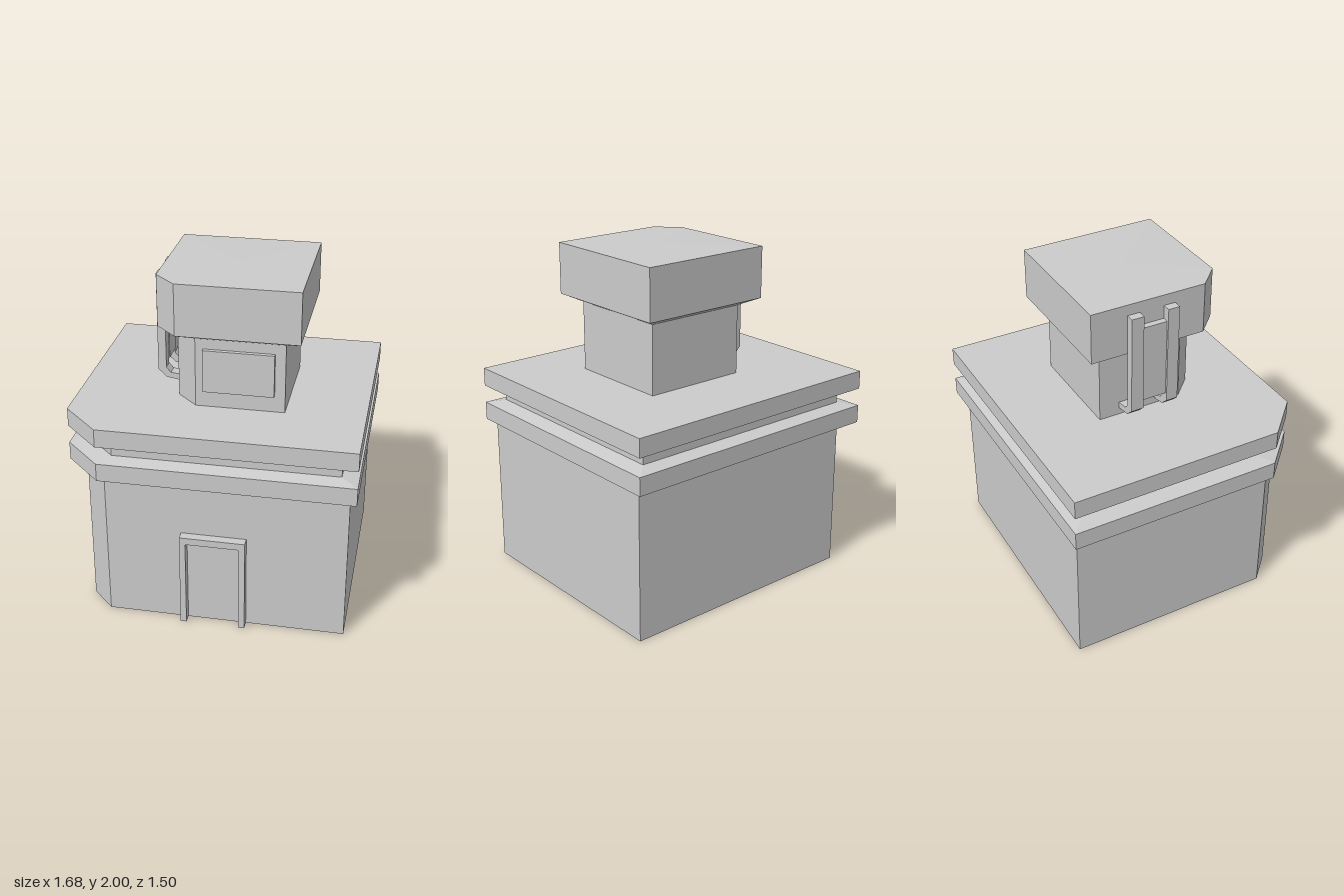
import * as THREE from 'three';

const grey = new THREE.MeshStandardMaterial({ color: 0xcccccc, flatShading: true });
const greyDouble = new THREE.MeshStandardMaterial({ color: 0xcccccc, flatShading: true, side: THREE.DoubleSide });

// Rectangle with the front corner on the -x side cut off, counter-clockwise from above
function ring(y, x0, x1, z0, z1, cut) {
  return [[x1, z1], [x1, z0], [x0, z0], [x0, z1 - cut], [x0 + cut, z1]]
    .map(([x, z]) => new THREE.Vector3(x, y, z));
}

// Joins rings from bottom to top; each cap is a fan around a centre raised by capRise
function loft(rings, { bottom = true, top = true, capRise = 0 } = {}) {
  const pts = [];
  const n = rings[0].length;
  const centre = (r) => new THREE.Vector3((r[0].x + r[2].x) / 2, r[0].y, (r[0].z + r[2].z) / 2);
  const first = rings[0], last = rings[rings.length - 1];
  const low = centre(first), high = centre(last);
  high.y += capRise;
  for (let j = 0; j < n; j++) {
    const k = (j + 1) % n;
    for (let i = 0; i < rings.length - 1; i++) {
      const a = rings[i], b = rings[i + 1];
      pts.push(a[j], a[k], b[k], a[j], b[k], b[j]);
    }
    if (bottom) pts.push(low, first[k], first[j]);
    if (top) pts.push(high, last[j], last[k]);
  }
  const geometry = new THREE.BufferGeometry().setFromPoints(pts);
  geometry.computeVertexNormals();
  return geometry;
}

// Outline in x and y, given thickness from z0 to z1
function plate(points, z0, z1) {
  const shape = new THREE.Shape(points.map(([x, y]) => new THREE.Vector2(x, y)));
  return new THREE.ExtrudeGeometry(shape, { depth: z1 - z0, bevelEnabled: false }).translate(0, 0, z0);
}

function box(x0, x1, y0, y1, z0, z1) {
  return new THREE.BoxGeometry(x1 - x0, y1 - y0, z1 - z0)
    .translate((x0 + x1) / 2, (y0 + y1) / 2, (z0 + z1) / 2);
}

export function createModel() {
  const model = new THREE.Group();
  const add = (name, geometry, material = grey) => {
    const mesh = new THREE.Mesh(geometry, material);
    mesh.name = name;
    model.add(mesh);
  };

  // Main walls, open underneath
  const wall = [-0.73, 0.8, -0.69, 0.69, 0.135];
  add('walls', loft([ring(0, ...wall), ring(0.905, ...wall)], { bottom: false, top: false }), greyDouble);

  // Two ledges with a recessed band between them
  const ledge = [-0.845, 0.84, -0.75, 0.745, 0.222];
  const band = [-0.75, 0.745, -0.66, 0.66, 0.195];
  add('roofLedges', loft([
    ring(0.905, ...ledge), ring(1.013, ...ledge),
    ring(1.03, ...band), ring(1.105, ...band),
    ring(1.12, ...ledge), ring(1.23, ...ledge),
  ]));

  // Tower shaft
  const shaft = [-0.26, 0.38, -0.295, 0.345, 0.125];
  add('tower', loft([ring(1.23, ...shaft), ring(1.645, ...shaft)]));

  // Flared tower head with a barely raised top
  const head = [-0.355, 0.473, -0.39, 0.44, 0.127];
  add('towerHead', loft(
    [ring(1.645, ...shaft), ring(1.69, ...head), ring(1.995, ...head)], { capRise: 0.005 }));

  // Window panel on the tower front
  add('window', box(-0.09, 0.32, 1.33, 1.585, 0.335, 0.37));

  // Door frame, passing through the front wall
  add('doorFrame', plate([
    [-0.155, 0], [-0.12, 0], [-0.12, 0.54], [0.188, 0.54],
    [0.188, 0], [0.225, 0], [0.225, 0.582], [-0.155, 0.582],
  ], 0.64, 0.745));

  // Side rack: two bent rails with a panel between
  const rail = [
    [-0.405, 1.93], [-0.405, 1.335], [-0.355, 1.288], [-0.25, 1.27],
    [-0.25, 1.31], [-0.33, 1.318], [-0.357, 1.35], [-0.357, 1.65], [-0.35, 1.93],
  ];
  [[-0.17, -0.095], [0.055, 0.125]].forEach(([z0, z1], i) => {
    add(i ? 'frontRail' : 'backRail', plate(rail, z0, z1));
  });
  add('rackPanel', box(-0.392, -0.352, 1.38, 1.85, -0.095, 0.055));

  return model;
}
